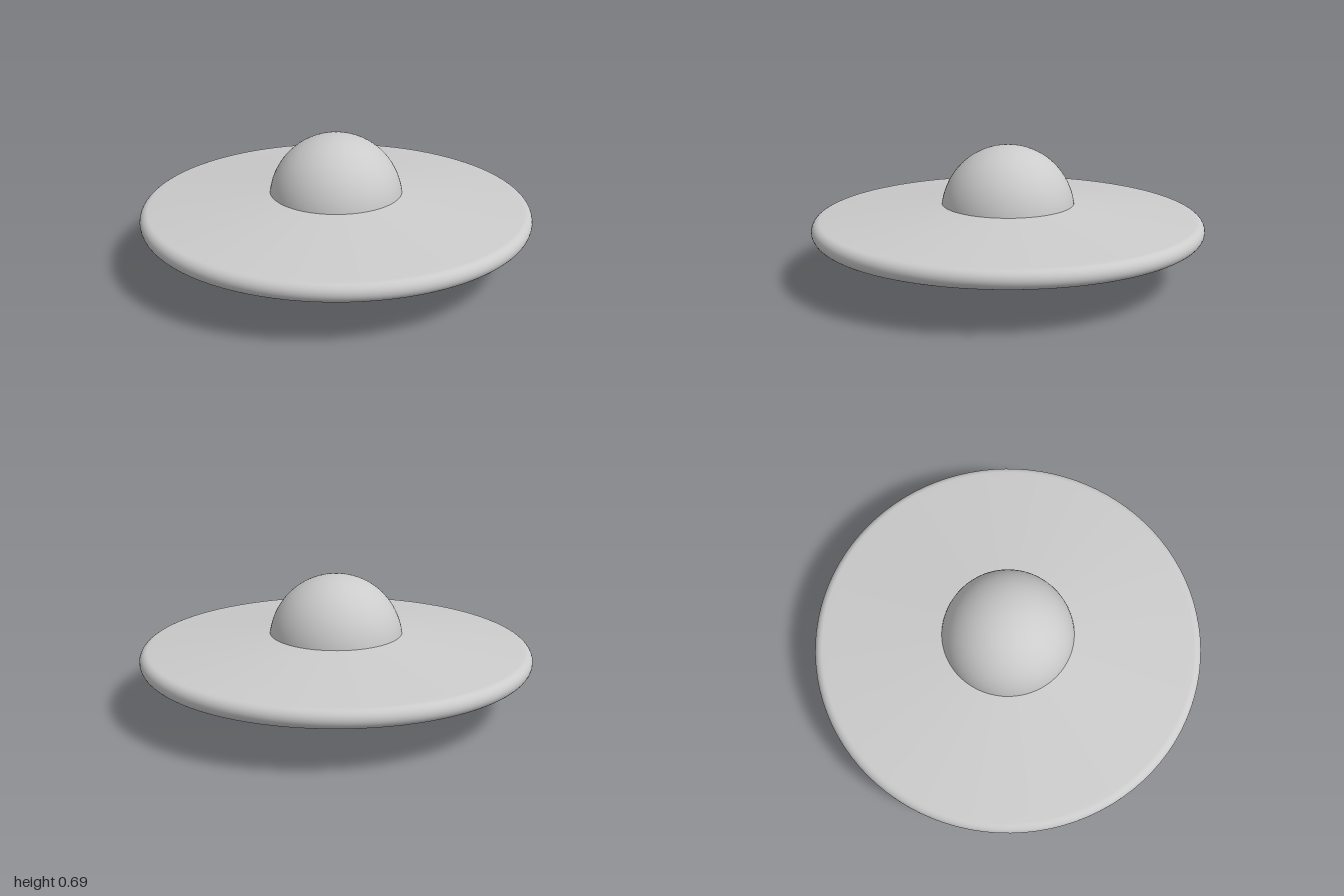
import * as THREE from 'three';

export function createModel() {
  const model = new THREE.Group();
  const material = new THREE.MeshStandardMaterial({ color: 0xcccccc });

  // Saucer disc: two shallow cones joined tangentially by a rounded rim
  const midY = 0.28, rimRadius = 0.047, rimCentre = 1 - rimRadius;
  const slope = 0.107, rimAngle = Math.PI / 2 - Math.atan(slope);
  const rim = [];
  const arcSteps = 16;
  for (let i = 0; i <= arcSteps; i++) {
    const a = -rimAngle + (2 * rimAngle * i) / arcSteps;
    rim.push(new THREE.Vector2(rimCentre + rimRadius * Math.cos(a), midY + rimRadius * Math.sin(a)));
  }
  const top = rim[arcSteps];
  const coneY = (r) => top.y - midY + (top.x - r) * slope;
  const radii = [0, 0.3, 0.93];
  const profile = [
    ...radii.map((r) => new THREE.Vector2(r, midY - coneY(r))),
    ...rim,
    ...radii.reverse().map((r) => new THREE.Vector2(r, midY + coneY(r))),
  ];
  const disc = new THREE.Mesh(new THREE.LatheGeometry(profile, 96), material);
  disc.name = 'saucerDisc';
  model.add(disc);

  // Central sphere, showing as a dome above and a belly below
  const sphereRadius = 0.342;
  const sphere = new THREE.Mesh(new THREE.SphereGeometry(sphereRadius, 64, 40), material);
  sphere.name = 'centralSphere';
  sphere.position.y = 0.345;
  sphere.scale.y = 0.345 / sphereRadius;
  model.add(sphere);

  return model;
}
